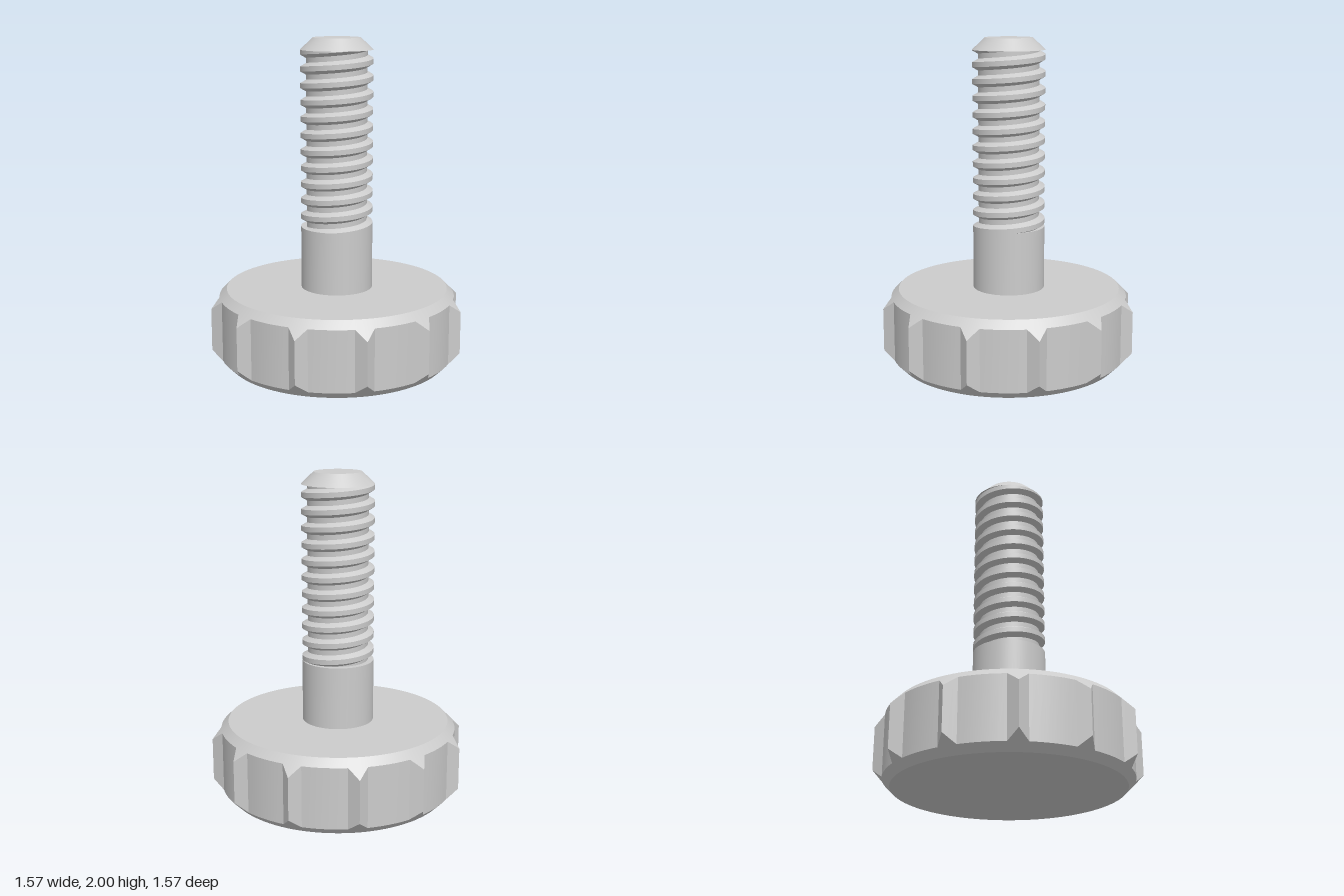
import * as THREE from 'three';
import { toCreasedNormals } from 'three/addons/utils/BufferGeometryUtils.js';

const material = new THREE.MeshStandardMaterial({ color: 0xcccccc });

// Skins a closed surface around the y axis: profileAt(angle) gives [radius, y] pairs from bottom to top
function skin(name, angles, profileAt) {
  const columns = angles.map((a) =>
    profileAt(a).map(([r, y]) => new THREE.Vector3(r * Math.cos(a), y, -r * Math.sin(a))));
  const positions = [];
  const tri = new THREE.Triangle();
  const add = (a, b, c) => {
    if (tri.set(a, b, c).getArea() > 1e-8) for (const p of [a, b, c]) positions.push(p.x, p.y, p.z);
  };
  for (let i = 0; i < columns.length - 1; i++) {
    const A = columns[i], B = columns[i + 1];
    for (let j = 0; j < A.length - 1; j++) {
      add(A[j], B[j], B[j + 1]);
      add(A[j], B[j + 1], A[j + 1]);
    }
  }
  const geometry = new THREE.BufferGeometry();
  geometry.setAttribute('position', new THREE.Float32BufferAttribute(positions, 3));
  const mesh = new THREE.Mesh(toCreasedNormals(geometry, 0.5), material);
  mesh.name = name;
  return mesh;
}

// Round grip with twelve pointed ribs, both rims chamfered at 45 degrees
function createKnob() {
  const teeth = 12, bodyR = 0.73, tipR = 0.787, faceR = 0.685, height = 0.465;
  const step = (2 * Math.PI) / teeth, half = THREE.MathUtils.degToRad(4.5);
  const baseX = bodyR * Math.cos(half), baseZ = bodyR * Math.sin(half);
  const outline = (a) => {
    const d = Math.abs(a - Math.round(a / step) * step);
    if (d >= half) return bodyR;
    // polar form of the straight flank from rib tip to rib base
    return (tipR * baseZ) / (baseZ * Math.cos(d) + (tipR - baseX) * Math.sin(d));
  };
  const angles = [];
  for (let i = 0; i < teeth; i++) {
    for (const f of [0, 0.33, 0.67, 1]) angles.push(i * step + f * half);
    for (let k = 1; k < 6; k++) angles.push(i * step + half + ((step - 2 * half) * k) / 6);
    for (const f of [1, 0.67, 0.33]) angles.push((i + 1) * step - f * half);
  }
  angles.push(2 * Math.PI);
  return skin('knob', angles, (a) => {
    const r = outline(a), drop = r - faceR;
    return [[0, 0], [faceR, 0], [r, drop], [r, height - drop], [faceR, height], [0, height]];
  });
}

// Plain shank, right-hand trapezoidal thread and chamfered end
function createScrew() {
  const R = 0.22, root = 0.185, pitch = 0.1, y0 = 0.85, y1 = 1.928, phase = 0.873;
  // one pitch of the thread: [height, radius]
  const groove = [[0, R], [0.02, root], [0.05, root], [0.07, R], [0.1, R]];
  const radiusAt = (a, y) => {
    const t = THREE.MathUtils.euclideanModulo(y - phase - (pitch * a) / (2 * Math.PI), pitch);
    const k = Math.min(3, groove.findIndex((g) => g[0] > t) - 1);
    const [ya, ra] = groove[Math.max(0, k)], [yb, rb] = groove[Math.max(0, k) + 1];
    return ra + ((rb - ra) * (t - ya)) / (yb - ya);
  };
  const segments = 72;
  const angles = Array.from({ length: segments + 1 }, (_, i) => (i / segments) * 2 * Math.PI);
  return skin('threadedScrew', angles, (a) => {
    const points = [[R, 0.465], [R, y0], [radiusAt(a, y0), y0]];
    for (let turn = -2; turn < 12; turn++) {
      for (const [h, r] of groove.slice(0, 4)) {
        const y = phase + pitch * (turn + a / (2 * Math.PI)) + h;
        const clamped = THREE.MathUtils.clamp(y, y0, y1);
        points.push([clamped === y ? r : radiusAt(a, clamped), clamped]);
      }
    }
    points.push([radiusAt(a, y1), y1], [R, y1], [0.145, 2], [0, 2]);
    return points;
  });
}

export function createModel() {
  const group = new THREE.Group();
  group.name = 'thumbScrew';
  group.add(createKnob(), createScrew());
  return group;
}
